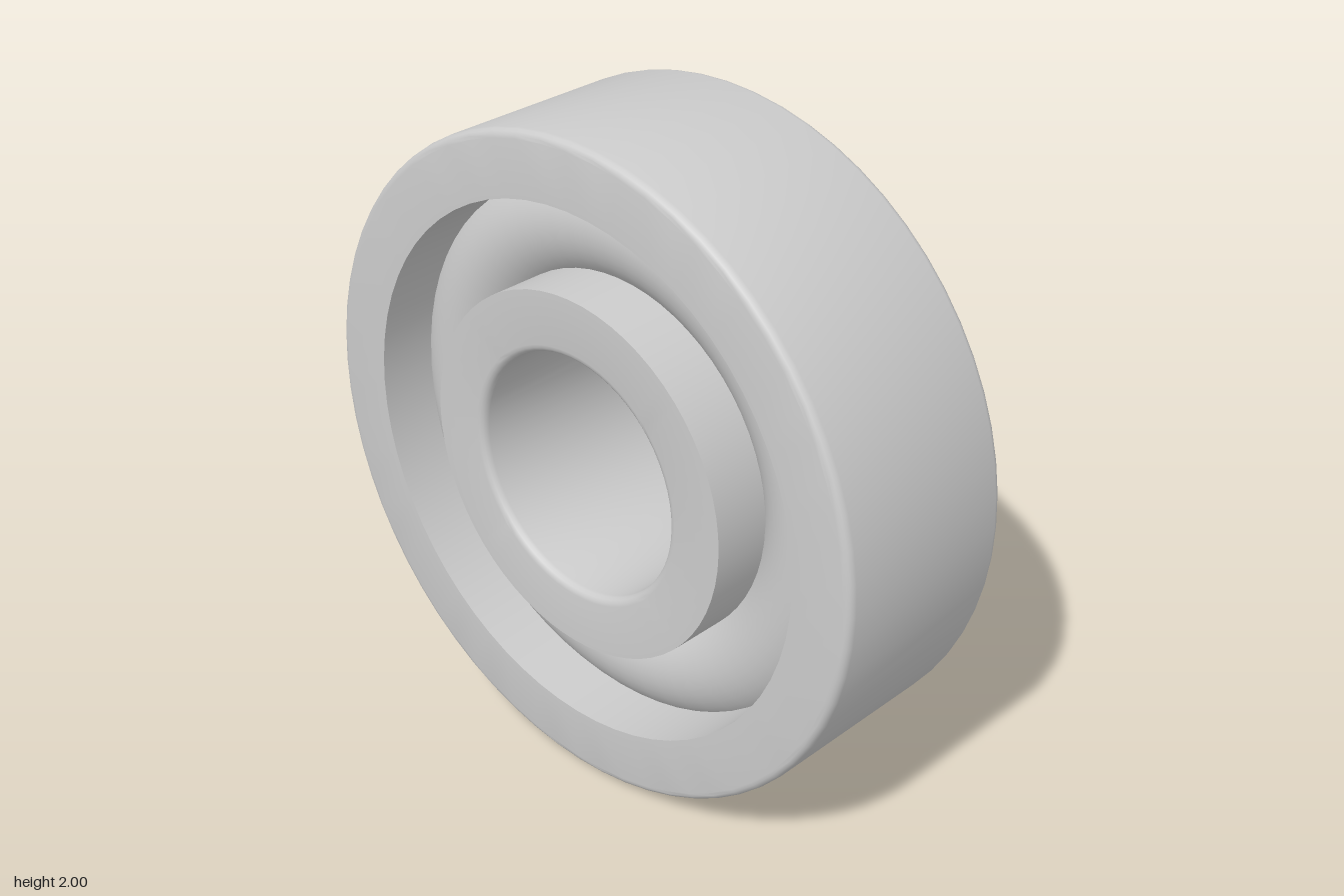
import * as THREE from 'three';
import { toCreasedNormals } from 'three/addons/utils/BufferGeometryUtils.js';

const SEGMENTS = 64;
const HALF_WIDTH = 0.315;
const FILLET = 0.025;
const BORE = 0.368, INNER_RIM = 0.553, OUTER_RIM = 0.808, OUTSIDE = 1;

// Counter-clockwise ring section; one side (inner or outer radius) has rounded edges
function raceProfile(rIn, rOut, roundOutside) {
  const points = [];
  const corner = (r, z, sr, sz, startAngle, rounded) => {
    if (!rounded) return points.push(new THREE.Vector2(r, z));
    for (let i = 0; i <= 4; i++) {
      const a = startAngle + (i / 4) * Math.PI / 2;
      points.push(new THREE.Vector2(
        r - sr * FILLET + Math.cos(a) * FILLET,
        z - sz * FILLET + Math.sin(a) * FILLET));
    }
  };
  corner(rIn, -HALF_WIDTH, -1, -1, Math.PI, !roundOutside);
  corner(rOut, -HALF_WIDTH, 1, -1, -Math.PI / 2, roundOutside);
  corner(rOut, HALF_WIDTH, 1, 1, 0, roundOutside);
  corner(rIn, HALF_WIDTH, -1, 1, Math.PI / 2, !roundOutside);
  points.push(points[0].clone());
  return points;
}

export function createModel() {
  const group = new THREE.Group();
  group.name = 'bearing';
  const material = new THREE.MeshStandardMaterial({ color: 0xcccccc });

  const add = (name, geometry) => {
    const mesh = new THREE.Mesh(geometry, material);
    mesh.name = name;
    mesh.position.y = OUTSIDE;
    group.add(mesh);
  };
  const race = (rIn, rOut, roundOutside) => toCreasedNormals(
    new THREE.LatheGeometry(raceProfile(rIn, rOut, roundOutside), SEGMENTS).rotateX(Math.PI / 2), 0.55);

  // Inner and outer races
  add('outerRace', race(OUTER_RIM, OUTSIDE, true));
  add('innerRace', race(BORE, INNER_RIM, false));

  // Rounded ring seated between the races
  add('rollingRing', new THREE.TorusGeometry((INNER_RIM + OUTER_RIM) / 2, 0.182, 40, SEGMENTS));

  return group;
}
